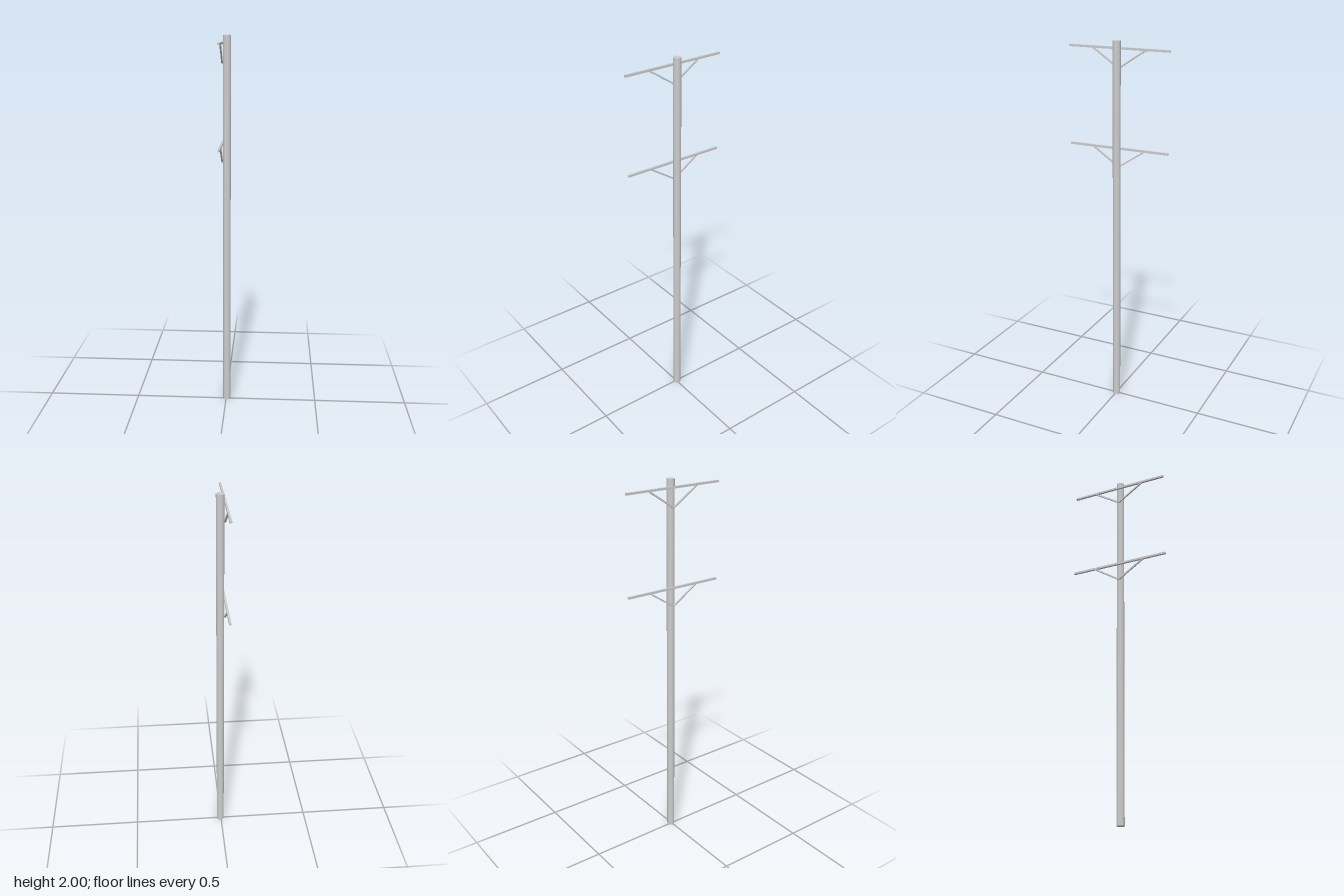
import * as THREE from 'three';

const grey = new THREE.MeshStandardMaterial({ color: 0xcccccc });
const POLE_X = 0.004, POLE_Z = -0.003, POLE_R = 0.0205;
const ARM_X = -0.0205, ARM_SIZE = 0.011;

function part(name, geometry, x, y, z) {
  const mesh = new THREE.Mesh(geometry, grey);
  mesh.name = name;
  mesh.position.set(x, y, z);
  return mesh;
}

// Square bar running between two points in the y-z plane
function brace(name, y0, z0, y1, z1) {
  const length = Math.hypot(y1 - y0, z1 - z0);
  const mesh = part(name, new THREE.BoxGeometry(0.008, 0.008, length), ARM_X, (y0 + y1) / 2, (z0 + z1) / 2);
  mesh.rotation.x = -Math.atan2(y1 - y0, z1 - z0);
  return mesh;
}

// Horizontal arm with a V of two braces meeting at the pole
function crossarm(name, y) {
  const group = new THREE.Group();
  group.name = name;
  group.add(part('armBar', new THREE.BoxGeometry(ARM_SIZE, ARM_SIZE, 0.557), ARM_X, y, -0.0015));
  for (const side of [1, -1]) {
    group.add(brace(side > 0 ? 'frontBrace' : 'backBrace',
      y - 0.098, POLE_Z + side * 0.002, y - 0.002, POLE_Z + side * 0.147));
  }
  return group;
}

export function createModel() {
  const model = new THREE.Group();
  model.name = 'utilityPole';
  model.add(part('pole', new THREE.CylinderGeometry(POLE_R, POLE_R, 2, 24), POLE_X, 1, POLE_Z));
  model.add(crossarm('upperCrossarm', 1.96), crossarm('lowerCrossarm', 1.45));
  return model;
}
